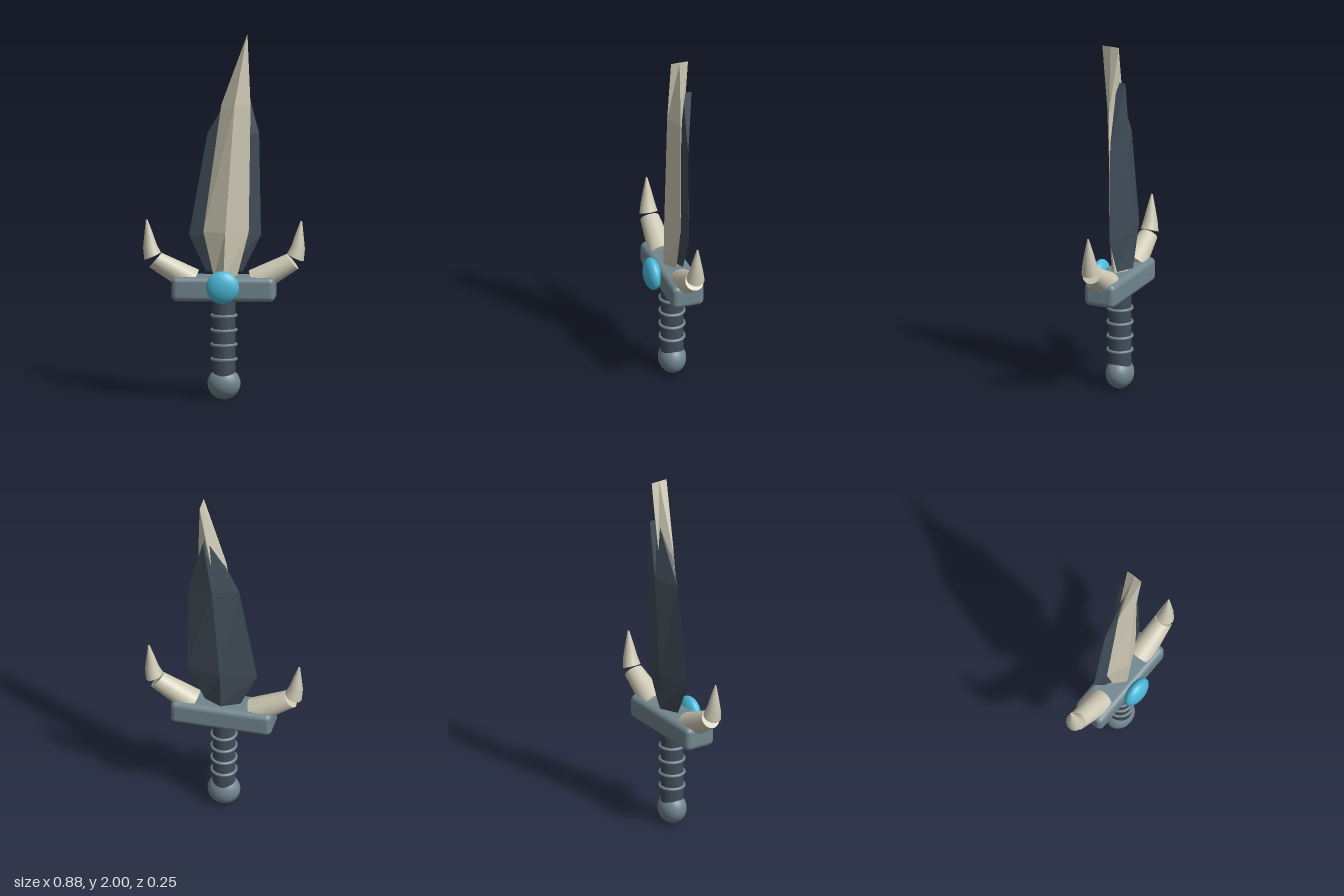
import * as THREE from 'three';
import { RoundedBoxGeometry } from 'three/addons/geometries/RoundedBoxGeometry.js';

const Z = -0.036; // depth of the sword's centre plane

const mat = (name, color) => Object.assign(new THREE.MeshStandardMaterial({ color }), { name });

// Skin between rings of points, each counter-clockwise seen from the far end
function loft(rings, flat) {
  const n = rings[0].length, pos = [], index = [];
  rings.forEach(r => r.forEach(p => pos.push(...p)));
  for (let i = 0; i < rings.length - 1; i++) {
    for (let j = 0; j < n; j++) {
      const a = i * n + j, b = i * n + (j + 1) % n;
      index.push(a, b, b + n, a, b + n, a + n);
    }
  }
  // end caps with their own vertices
  [rings[0], rings[rings.length - 1]].forEach((ring, end) => {
    const s = pos.length / 3;
    ring.forEach(p => pos.push(...p));
    for (let j = 1; j < n - 1; j++) {
      index.push(s, end ? s + j : s + j + 1, end ? s + j + 1 : s + j);
    }
  });
  let g = new THREE.BufferGeometry();
  g.setAttribute('position', new THREE.Float32BufferAttribute(pos, 3));
  g.setIndex(index);
  if (flat) g = g.toNonIndexed();
  g.computeVertexNormals();
  return g;
}

// Diamond-section blade; each section is [y, left x, ridge x, right x]
function bladeGeometry(sections, z, half) {
  return loft(sections.map(([y, l, m, r]) => [
    [r, y, z], [m, y, z - half], [l, y, z], [m, y, z + half],
  ]), true);
}

// Round horn piece; each section is [x, y, radius, heading in degrees]
function hornGeometry(sections, sides = 20) {
  return loft(sections.map(([x, y, r, deg]) => {
    const t = THREE.MathUtils.degToRad(deg);
    return Array.from({ length: sides }, (_, j) => {
      const a = j / sides * Math.PI * 2, u = r * Math.cos(a);
      return [x + u * Math.sin(t), y - u * Math.cos(t), -r * Math.sin(a)];
    });
  }), false);
}

export function createModel() {
  const model = new THREE.Group();
  model.name = 'sword';
  const bone = mat('bone', 0xcfcab6);
  const dark = mat('darkSlate', 0x414d58);
  const steel = mat('greySteel', 0x72868f);
  const blue = mat('blueGem', 0x4bb9d9);

  const add = (name, geometry, material, x = 0, y = 0, z = 0, parent = model) => {
    const m = new THREE.Mesh(geometry, material);
    m.name = name;
    m.position.set(x, y, z);
    parent.add(m);
    return m;
  };

  // Pommel, grip and grip rings
  add('pommel', new THREE.SphereGeometry(0.09, 32, 20), steel, 0, 0.088, Z)
    .scale.set(1, 0.98, 0.84);
  add('grip', new THREE.CylinderGeometry(0.064, 0.064, 0.44, 32), dark, 0, 0.35, Z);
  for (let i = 0; i < 4; i++) {
    add('gripRing', new THREE.TorusGeometry(0.066, 0.009, 8, 32), steel, 0, 0.222 + i * 0.08, Z)
      .rotation.x = Math.PI / 2;
  }

  // Crossguard with its gem
  add('guard', new RoundedBoxGeometry(0.565, 0.135, 0.182, 4, 0.03), steel, 0, 0.6125, Z);
  add('gem', new THREE.SphereGeometry(0.09, 32, 20), blue, 0, 0.63, 0.08)
    .scale.z = 0.5;

  // Pale front blade and dark back blade, each ending in a chisel edge
  add('frontBlade', bladeGeometry([
    [0.67, -0.055, 0, 0.07],
    [0.92, -0.113, 0.01, 0.135],
    [1.62, -0.015, 0.06, 0.145],
    [2.0, 0.124, 0.125, 0.126],
  ], Z, 0.049), bone);
  add('backBlade', bladeGeometry([
    [0.7, -0.1, 0, 0.1],
    [0.9, -0.193, 0.005, 0.2],
    [1.46, -0.092, 0.05, 0.19],
    [1.79, 0.099, 0.1, 0.101],
  ], -0.064, 0.05), dark);

  // Horns, the second turned half round to mirror the first
  const lower = hornGeometry([[0.165, 0.645, 0.072, 24], [0.373, 0.762, 0.052, 39]]);
  const upper = hornGeometry([
    [0.39, 0.785, 0.05, 66],
    [0.405, 0.84, 0.038, 76],
    [0.411, 0.9, 0.025, 82],
    [0.422, 0.983, 0.005, 86],
  ]);
  for (const side of ['left', 'right']) {
    const horn = new THREE.Group();
    horn.name = side + 'Horn';
    horn.position.z = Z;
    if (side === 'right') horn.rotation.y = Math.PI;
    add('hornBase', lower, bone, 0, 0, 0, horn);
    add('hornTip', upper, bone, 0, 0, 0, horn);
    model.add(horn);
  }
  return model;
}
